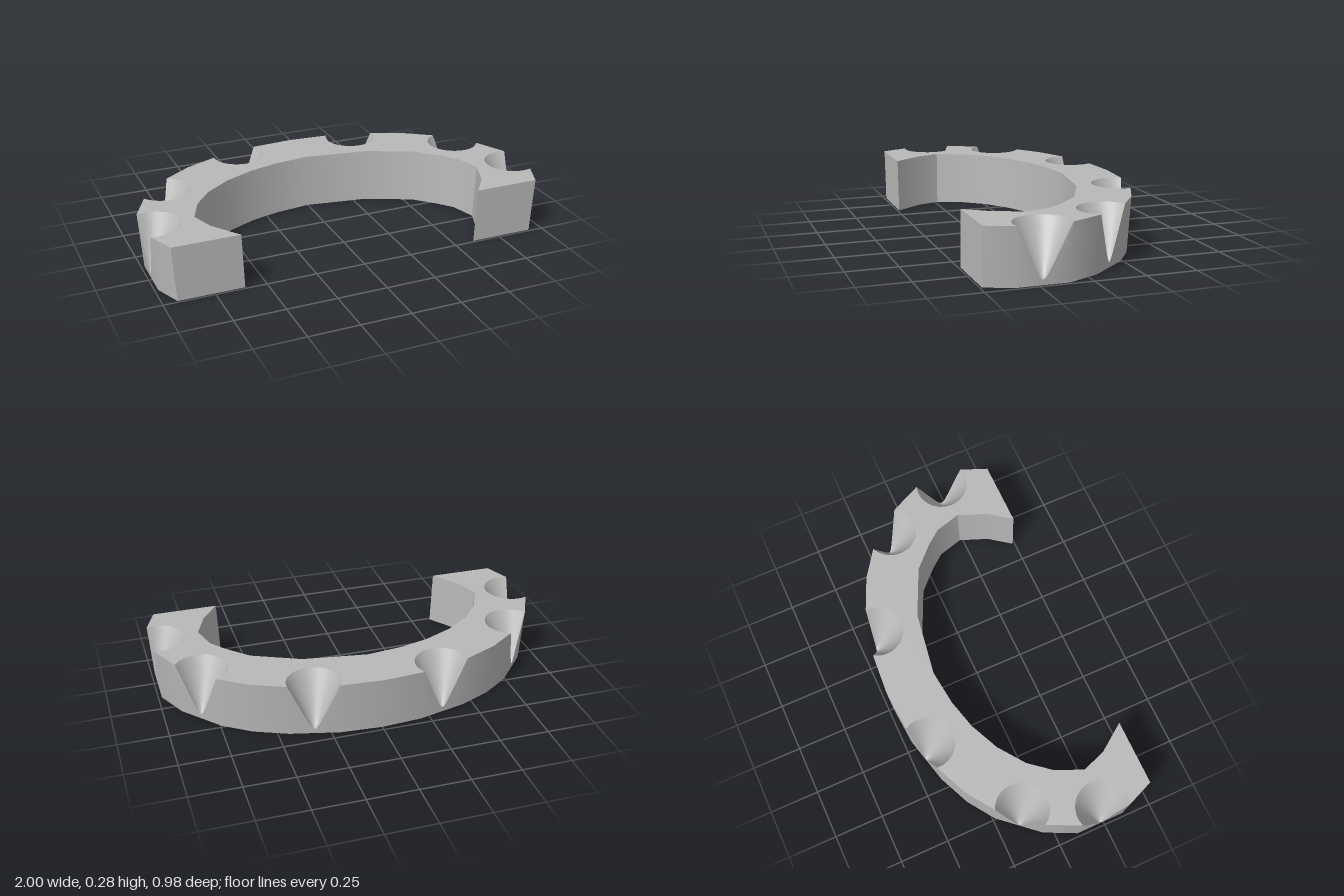
import * as THREE from 'three';
import { toCreasedNormals } from 'three/addons/utils/BufferGeometryUtils.js';

const HEIGHT = 0.275, FRONT = 0.49, TIP = 0.025, ARC_STEPS = 16;

// Right half of the outer edge, from the back centre to the front end; true = scoop on the edge starting here
const outerHalf = [
  [0, -0.493], [0.21, -0.478, true], [0.455, -0.417], [0.62, -0.345],
  [0.757, -0.25, true], [0.923, -0.06], [1, 0.1, true], [1, 0.355], [0.945, FRONT],
];
// Inner edge from the right front end round to the left one
const inner = [
  [0.615, FRONT], [0.7, 0.375], [0.757, 0.23], [0.72, 0.1], [0.66, 0.025], [0.555, -0.08],
  [0.32, -0.188], [0, -0.238], [-0.18, -0.217], [-0.33, -0.178], [-0.48, -0.11],
  [-0.61, -0.015], [-0.7, 0.095], [-0.757, 0.23], [-0.715, 0.35], [-0.615, FRONT],
];

// Whole outer edge, left front to right front
function outerEdge() {
  const left = outerHalf.map(([x, z], i) => [-x, z, i > 0 && !!outerHalf[i - 1][2]]).reverse();
  return [...left.slice(0, -1), ...outerHalf];
}

// Scoop size at a height: 0 at the rounded tip, nearly 1 at the top
function scoopSize(y) {
  const s = Math.max(0, (y - TIP) / (HEIGHT - TIP)), a = 0.15;
  return 0.995 * Math.sqrt((s + a) ** 2 - a * a) / Math.sqrt((1 + a) ** 2 - a * a);
}

// Closed outline at one height; the band draws in slightly towards its base
function section(y, withScoops = true) {
  const points = [], edge = outerEdge(), size = scoopSize(y);
  edge.forEach(([x, z, scooped], i) => {
    points.push([x, z]);
    if (!scooped || !withScoops) return;
    const [nx, nz] = edge[i + 1];
    const ux = (nx - x) / 2, uz = (nz - z) / 2;
    for (let k = 0; k <= ARC_STEPS; k++) {
      const t = Math.PI + 0.315 - (k / ARC_STEPS) * (Math.PI + 0.63);
      const along = size * Math.cos(t) / 0.95, into = size * (Math.sin(t) + 0.31) / 0.95;
      points.push([x + ux + ux * along - uz * into, z + uz + uz * along + ux * into]);
    }
  });
  points.push(...inner);
  const k = 1 - 0.017 * (1 - y / HEIGHT);
  return points.map(([x, z]) => new THREE.Vector3(x * k, y, FRONT + (z - FRONT) * k));
}

function bandGeometry() {
  const positions = [];
  const normal = new THREE.Vector3();
  const addTriangle = (a, b, c) => {
    new THREE.Triangle(a, b, c).getNormal(normal);
    if (normal.lengthSq() < 0.5) return;
    for (const p of [a, b, c]) positions.push(p.x, p.y, p.z);
  };
  // Walls and scoops
  const heights = [0, TIP];
  for (let i = 1; i <= 10; i++) heights.push(TIP + (HEIGHT - TIP) * (i / 10) ** 1.6);
  const layers = heights.map((y) => section(y));
  for (let j = 0; j + 1 < layers.length; j++) {
    const low = layers[j], high = layers[j + 1];
    low.forEach((a, i) => {
      const n = (i + 1) % low.length;
      addTriangle(a, high[i], high[n]);
      addTriangle(a, high[n], low[n]);
    });
  }
  // Flat top and underside
  const addCap = (ring, up) => {
    const flat = ring.map((p) => new THREE.Vector2(p.x, -p.z));
    for (const [i, j, k] of THREE.ShapeUtils.triangulateShape(flat, [])) {
      new THREE.Triangle(ring[i], ring[j], ring[k]).getNormal(normal);
      if (normal.y * up > 0) addTriangle(ring[i], ring[j], ring[k]);
      else addTriangle(ring[i], ring[k], ring[j]);
    }
  };
  addCap(section(HEIGHT), 1);
  addCap(section(0, false), -1);

  const geometry = new THREE.BufferGeometry();
  geometry.setAttribute('position', new THREE.Float32BufferAttribute(positions, 3));
  return toCreasedNormals(geometry, 0.5);
}

export function createModel() {
  const grey = new THREE.MeshStandardMaterial({ color: 0xb8b8b8 });
  grey.name = 'plain grey';
  const band = new THREE.Mesh(bandGeometry(), grey);
  band.name = 'scoopedBand';
  const model = new THREE.Group();
  model.name = 'openBand';
  model.add(band);
  return model;
}
